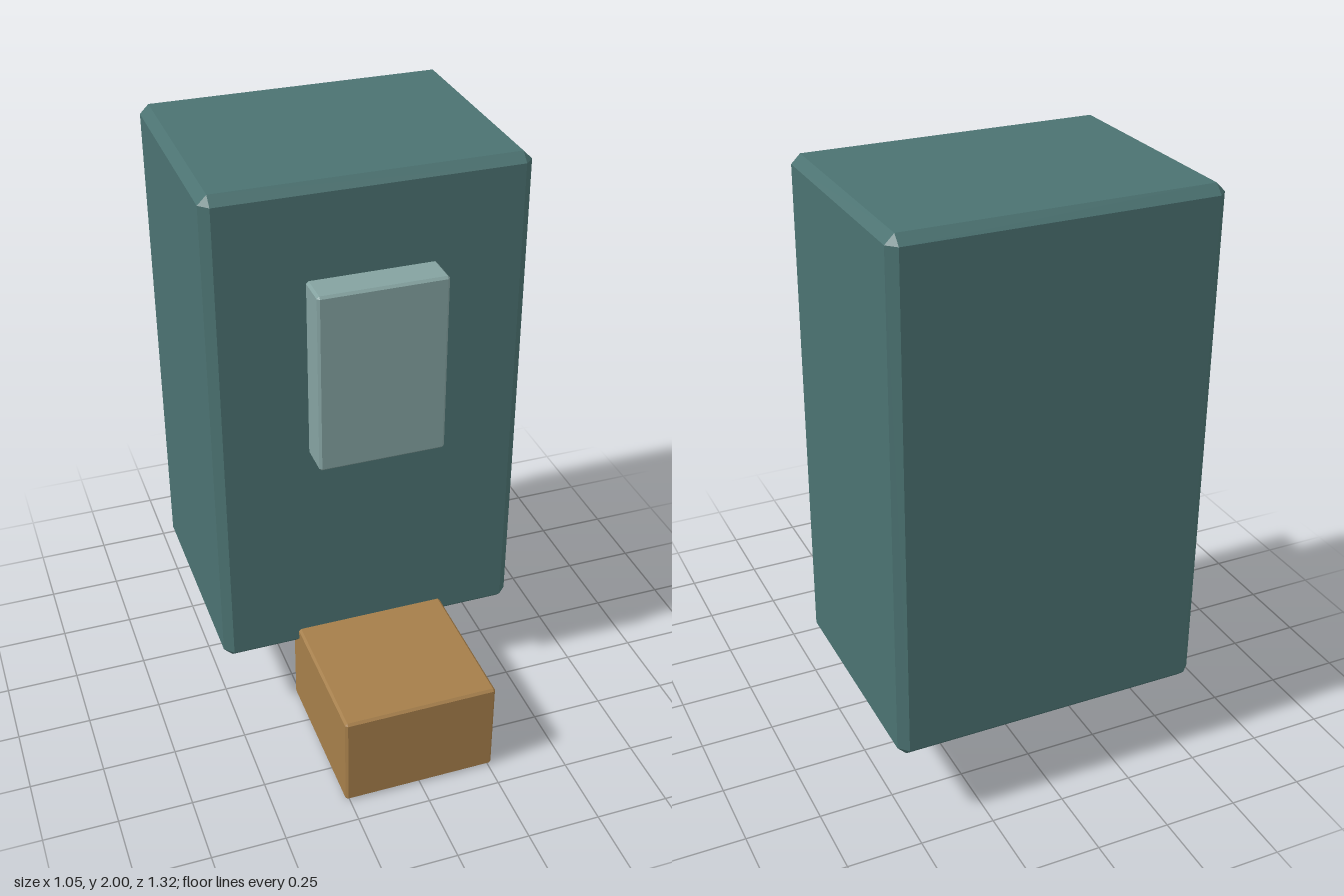
import * as THREE from 'three';
import { ConvexGeometry } from 'three/addons/geometries/ConvexGeometry.js';

// Box between two corners with every edge cut at 45 degrees
function chamferBox(name, min, max, cut, material) {
  const half = max.map((v, i) => (v - min[i]) / 2);
  const points = [];
  for (const sx of [-1, 1]) for (const sy of [-1, 1]) for (const sz of [-1, 1]) {
    const signs = [sx, sy, sz];
    // One point per face that meets at this corner
    for (let axis = 0; axis < 3; axis++) {
      points.push(new THREE.Vector3(
        ...signs.map((s, i) => s * (half[i] - (i === axis ? 0 : cut)))
      ));
    }
  }
  const mesh = new THREE.Mesh(new ConvexGeometry(points), material);
  mesh.name = name;
  mesh.position.set(...max.map((v, i) => (v + min[i]) / 2));
  return mesh;
}

function flatMaterial(name, color) {
  const material = new THREE.MeshStandardMaterial({ color });
  material.name = name;
  return material;
}

export function createModel() {
  const teal = flatMaterial('teal', 0x4b7271);
  const paleTeal = flatMaterial('paleTeal', 0x84a2a0);
  const tan = flatMaterial('tan', 0xa57e4a);

  const model = new THREE.Group();
  model.name = 'model';
  model.add(
    // Tall main housing, raised off the ground
    chamferBox('body', [-0.527, 0.27, -0.66], [0.527, 2, 0.155], 0.03, teal),
    // Raised plate on the front face
    chamferBox('frontPanel', [-0.213, 1.065, 0.04], [0.213, 1.688, 0.267], 0.008, paleTeal),
    // Low block at the front, tucked into the body
    chamferBox('frontBlock', [-0.263, 0, 0.09], [0.263, 0.34, 0.66], 0.008, tan)
  );
  return model;
}
